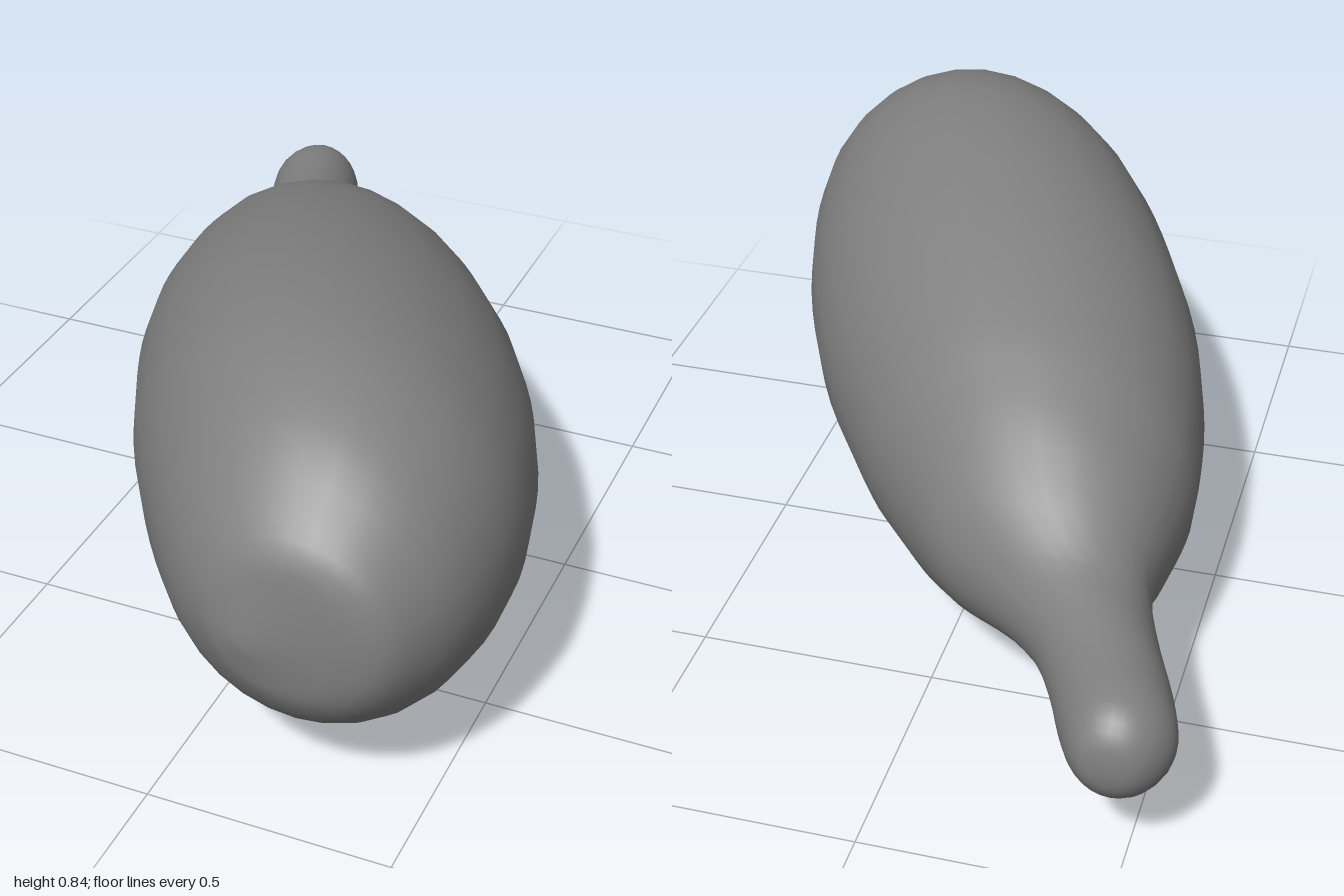
import * as THREE from 'three';
import { mergeVertices } from 'three/addons/utils/BufferGeometryUtils.js';

// Cross-sections from bone knob to thick end: z, left x, right x, bottom y, top y
const SECTIONS = [
  [-1.0, -0.475, -0.475, 0.29, 0.29],
  [-0.99, -0.53, -0.425, 0.235, 0.35],
  [-0.95, -0.57, -0.39, 0.188, 0.392],
  [-0.89, -0.587, -0.36, 0.172, 0.406],
  [-0.8, -0.56, -0.32, 0.182, 0.412],
  [-0.7, -0.517, -0.26, 0.188, 0.425],
  [-0.62, -0.486, -0.175, 0.187, 0.445],
  [-0.56, -0.467, -0.085, 0.174, 0.483],
  [-0.5, -0.461, 0, 0.144, 0.532],
  [-0.4, -0.474, 0.09, 0.079, 0.604],
  [-0.3, -0.485, 0.178, 0.046, 0.657],
  [-0.2, -0.485, 0.258, 0.024, 0.702],
  [0.0, -0.457, 0.39, 0.004, 0.767],
  [0.2, -0.402, 0.487, 0.004, 0.812],
  [0.4, -0.317, 0.553, 0.024, 0.837],
  [0.6, -0.21, 0.586, 0.064, 0.834],
  [0.78, -0.085, 0.567, 0.122, 0.778],
  [0.9, 0.02, 0.515, 0.2, 0.69],
  [0.965, 0.105, 0.455, 0.285, 0.62],
  [0.985, 0.15, 0.33, 0.35, 0.53],
  [1.0, 0.205, 0.205, 0.425, 0.425],
];

// Loft smooth elliptical rings through the sections
function loft(sections, rings, sides) {
  const curve = (f) => new THREE.CatmullRomCurve3(sections.map(f), false, 'catmullrom', 0.5);
  const centre = curve(([z, l, r, b, t]) => new THREE.Vector3((l + r) / 2, (b + t) / 2, z));
  const radius = curve(([z, l, r, b, t]) => new THREE.Vector3((r - l) / 2, (t - b) / 2, z));
  const positions = [], index = [];
  for (let i = 0; i <= rings; i++) {
    const c = centre.getPoint(i / rings), s = radius.getPoint(i / rings);
    for (let j = 0; j < sides; j++) {
      const a = (j / sides) * Math.PI * 2;
      positions.push(c.x + s.x * Math.cos(a), c.y + s.y * Math.sin(a), c.z);
      if (i === rings) continue;
      const k = (j + 1) % sides, p = i * sides, q = p + sides;
      if (i > 0) index.push(p + j, p + k, q + j);
      if (i < rings - 1) index.push(p + k, q + k, q + j);
    }
  }
  const g = new THREE.BufferGeometry();
  g.setAttribute('position', new THREE.Float32BufferAttribute(positions, 3));
  g.setIndex(index);
  const merged = mergeVertices(g, 1e-5);
  merged.computeVertexNormals();
  return merged;
}

export function createModel() {
  const group = new THREE.Group();
  group.name = 'meatLeg';
  // Meat body flowing into the bone stem as one continuous skin
  const mesh = new THREE.Mesh(
    loft(SECTIONS, (SECTIONS.length - 1) * 3, 28),
    new THREE.MeshStandardMaterial({ color: 0x808080 })
  );
  mesh.name = 'meatAndBone';
  group.add(mesh);
  return group;
}
